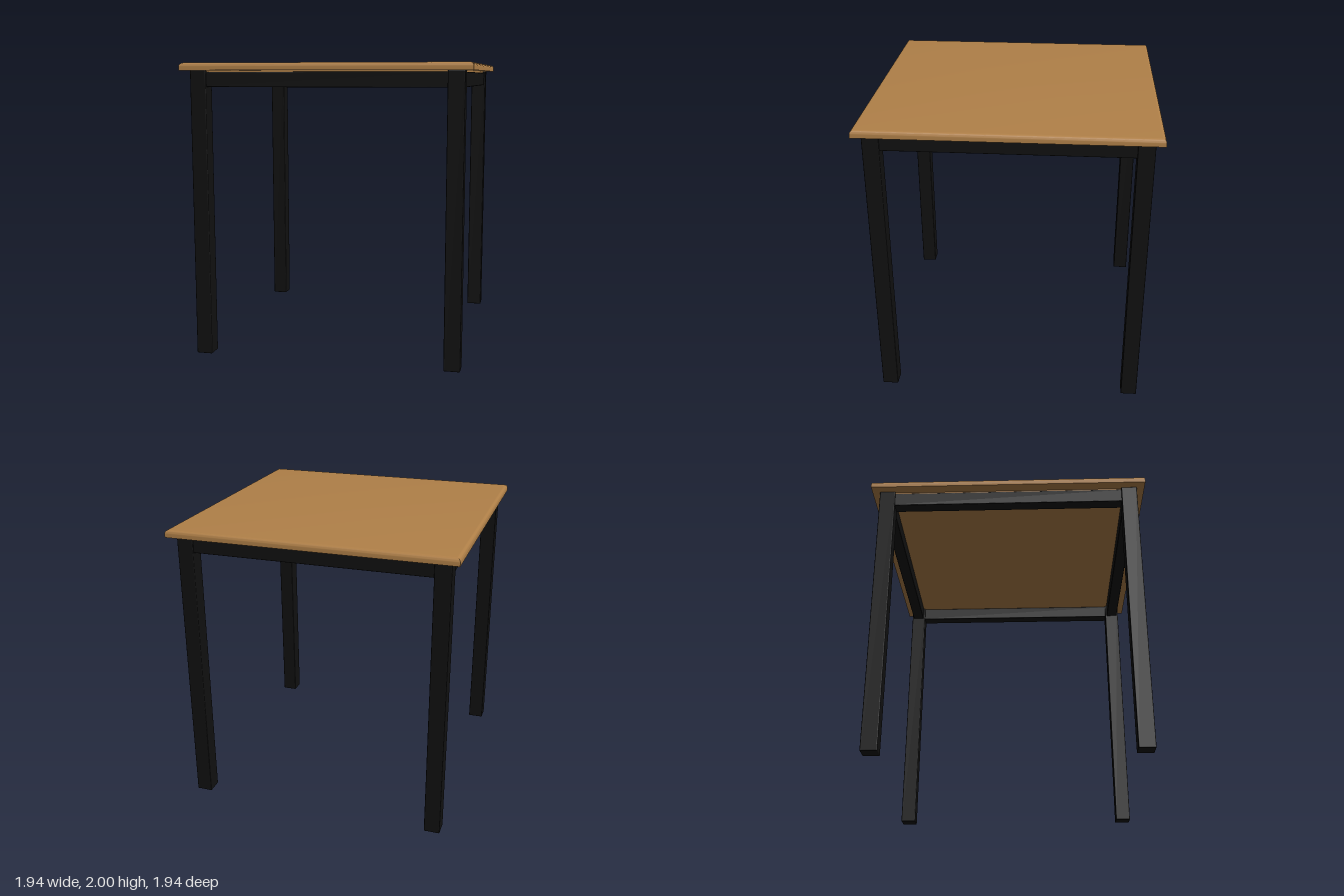
import * as THREE from 'three';
import { toCreasedNormals } from 'three/addons/utils/BufferGeometryUtils.js';
import { RoundedBoxGeometry } from 'three/addons/geometries/RoundedBoxGeometry.js';

export function createModel() {
  const table = new THREE.Group();
  table.name = 'table';
  const wood = new THREE.MeshStandardMaterial({ color: 0xb08048 });
  const black = new THREE.MeshStandardMaterial({ color: 0x111111 });

  function add(name, geometry, material, x, y, z) {
    const mesh = new THREE.Mesh(geometry, material);
    mesh.name = name;
    mesh.position.set(x, y, z);
    table.add(mesh);
    return mesh;
  }

  // Square top: a four-sided lathe with rounded upper edges and mitred corners
  const half = 0.97, bottom = 1.95, radius = 0.025;
  const profile = [[0, bottom], [half, bottom]];
  for (let i = 0; i <= 6; i++) {
    const a = (i / 6) * Math.PI / 2;
    profile.push([half - radius + radius * Math.cos(a), 2 - radius + radius * Math.sin(a)]);
  }
  profile.push([0, 2]);
  const points = profile.map(([r, y]) => new THREE.Vector2(r * Math.SQRT2, y));
  const topGeometry = new THREE.LatheGeometry(points, 4).rotateY(Math.PI / 4);
  add('tableTop', toCreasedNormals(topGeometry, Math.PI / 6), wood, 0, 0, 0);

  // Thin panel under the top, resting on the rails
  add('undersidePanel', new THREE.BoxGeometry(1.79, 0.012, 1.79), wood, 0, 1.946, 0);

  // Legs
  const legWidth = 0.11, legOffset = 0.86;
  const legGeometry = new RoundedBoxGeometry(legWidth, 1.95, legWidth, 2, 0.006);
  for (const x of [-1, 1]) {
    for (const z of [-1, 1]) {
      add((z > 0 ? 'front' : 'back') + (x > 0 ? 'Left' : 'Right') + 'Leg',
        legGeometry, black, x * legOffset, 0.975, z * legOffset);
    }
  }

  // Rails between the legs, slightly slimmer than them
  const railGeometry = new RoundedBoxGeometry(2 * legOffset - 0.08, 0.1, 0.085, 2, 0.006);
  ['frontRail', 'leftRail', 'backRail', 'rightRail'].forEach((name, i) => {
    const a = i * Math.PI / 2;
    add(name, railGeometry, black, Math.sin(a) * legOffset, 1.89, Math.cos(a) * legOffset).rotation.y = a;
  });

  return table;
}
